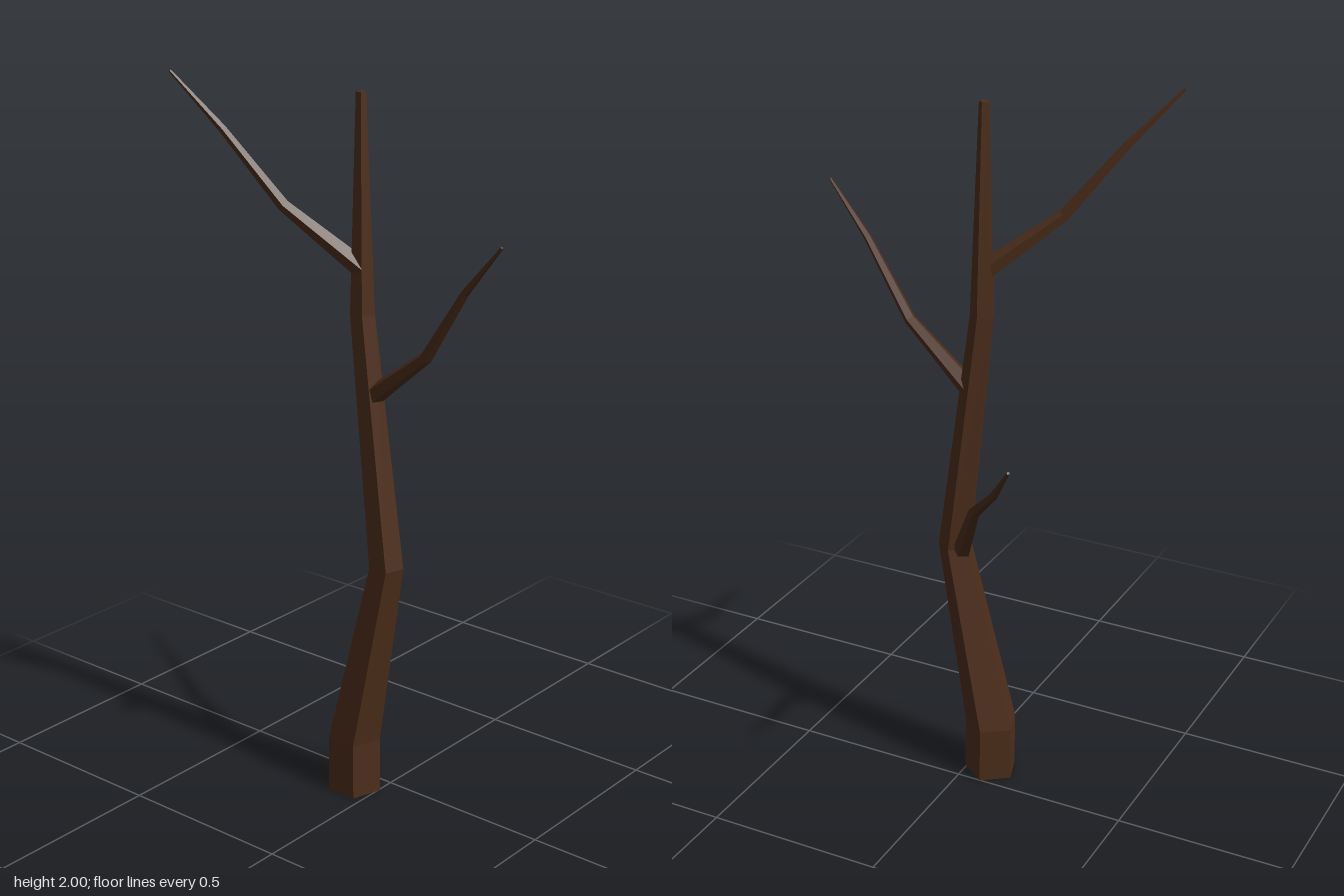
import * as THREE from 'three';

const SIDES = 5;
const bark = new THREE.MeshStandardMaterial({ color: 0x4d2e1b, flatShading: true });
const UP = new THREE.Vector3(0, 1, 0);

// Tapering five-sided limb; each station is [x, y, z, radius].
// Rings are level, or turned square to the path when tilted is true.
function limb(name, stations, tilted) {
  const centres = stations.map(([x, y, z]) => new THREE.Vector3(x, y, z));
  const last = centres.length - 1;
  const positions = [];
  const indices = [];

  centres.forEach((centre, i) => {
    const turn = new THREE.Quaternion();
    if (tilted) {
      const along = centres[Math.min(i + 1, last)].clone()
        .sub(centres[Math.max(i - 1, 0)]).normalize();
      turn.setFromUnitVectors(UP, along);
    }
    for (let s = 0; s < SIDES; s++) {
      const a = Math.PI + (s / SIDES) * Math.PI * 2; // first corner at the back
      const r = stations[i][3];
      const corner = new THREE.Vector3(Math.sin(a) * r, 0, Math.cos(a) * r);
      positions.push(...corner.applyQuaternion(turn).add(centre).toArray());
    }
  });

  // Side faces
  for (let i = 0; i < last; i++) {
    for (let s = 0; s < SIDES; s++) {
      const a = i * SIDES + s;
      const b = i * SIDES + (s + 1) % SIDES;
      indices.push(a, b, b + SIDES, a, b + SIDES, a + SIDES);
    }
  }
  // End caps
  const top = last * SIDES;
  for (let s = 1; s < SIDES - 1; s++) {
    indices.push(0, s + 1, s, top, top + s, top + s + 1);
  }

  const geometry = new THREE.BufferGeometry();
  geometry.setAttribute('position', new THREE.Float32BufferAttribute(positions, 3));
  geometry.setIndex(indices);
  geometry.computeVertexNormals();
  const mesh = new THREE.Mesh(geometry, bark);
  mesh.name = name;
  return mesh;
}

export function createModel() {
  const tree = new THREE.Group();
  tree.name = 'bareTree';

  // Crooked trunk
  tree.add(limb('trunk', [
    [-0.068, 0, 0.075, 0.076],
    [-0.068, 0.16, 0.075, 0.075],
    [0.047, 0.7, 0.075, 0.048],
    [-0.032, 1.39, 0.075, 0.034],
    [-0.034, 1.965, 0.075, 0.014],
  ], false));

  // Three bent branches
  tree.add(limb('upperBranch', [
    [-0.03, 1.51, 0.077, 0.028],
    [-0.217, 1.665, 0.168, 0.017],
    [-0.36, 1.855, 0.236, 0.011],
    [-0.483, 1.998, 0.295, 0.004],
  ], true));
  tree.add(limb('middleBranch', [
    [0.005, 1.175, 0.077, 0.028],
    [0.207, 1.325, 0.116, 0.017],
    [0.35, 1.525, 0.145, 0.011],
    [0.478, 1.663, 0.172, 0.004],
  ], true));
  tree.add(limb('lowerBranch', [
    [0.015, 0.7, 0.052, 0.026],
    [-0.067, 0.875, -0.036, 0.017],
    [-0.195, 1.015, -0.18, 0.011],
    [-0.291, 1.148, -0.296, 0.004],
  ], true));

  return tree;
}
